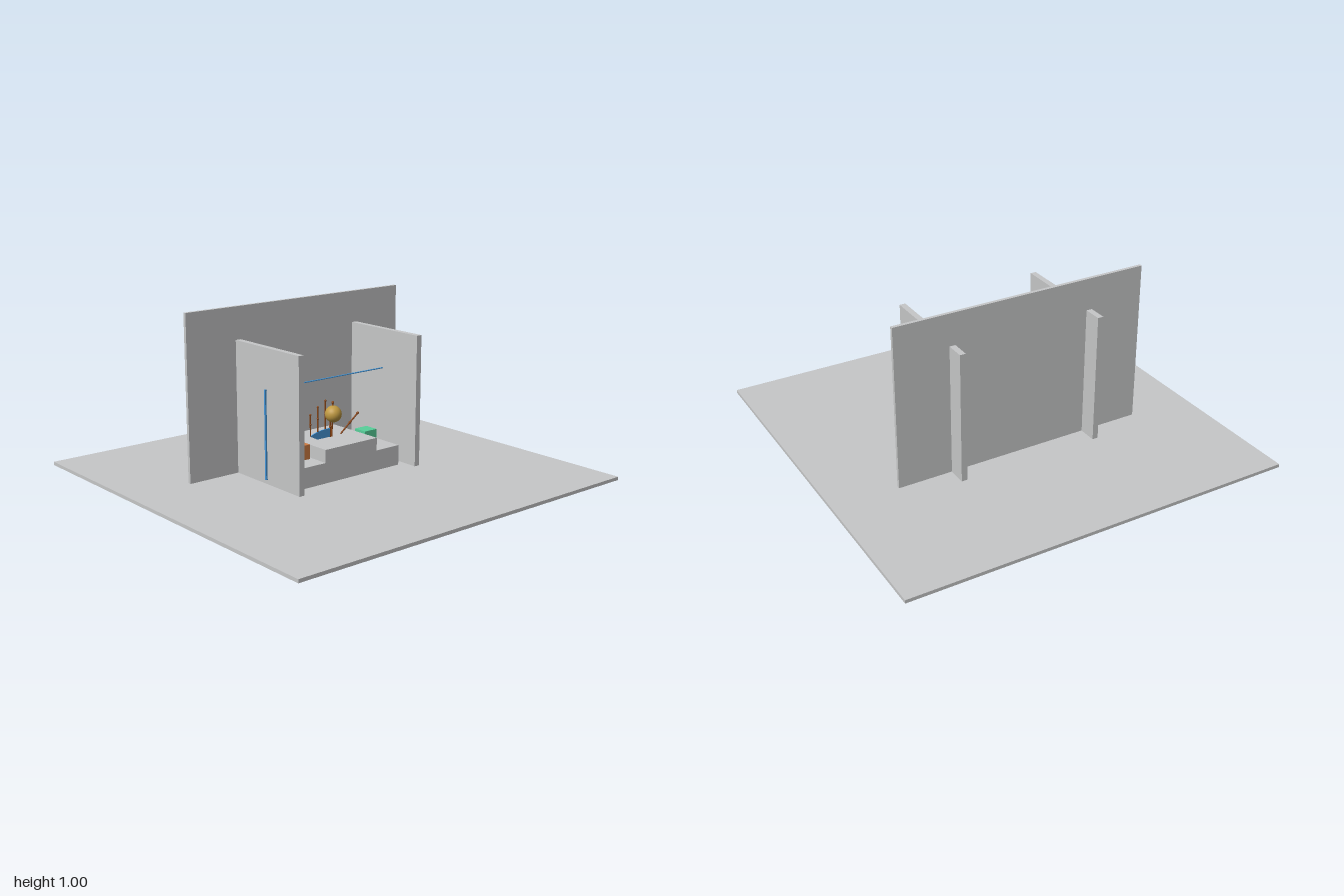
import * as THREE from 'three';

const paint = (name, color) => {
  const m = new THREE.MeshStandardMaterial({ color });
  m.name = name;
  return m;
};

export function createModel() {
  const model = new THREE.Group();
  model.name = 'stage';
  const grey = paint('grey', 0xc6c7c8);
  const blue = paint('blue', 0x4596d8);
  const orange = paint('orange', 0xcf7c42);
  const green = paint('green', 0x58d09a);
  const gold = paint('gold', 0xc09a42);
  const brown = paint('brown', 0x8b4513);

  const add = (name, geometry, material, parent = model) => {
    const mesh = new THREE.Mesh(geometry, material);
    mesh.name = name;
    parent.add(mesh);
    return mesh;
  };
  // Box given by its lower and upper limits on each axis
  const box = (name, x0, x1, y0, y1, z0, z1, material, parent) => {
    const mesh = add(name, new THREE.BoxGeometry(x1 - x0, y1 - y0, z1 - z0), material, parent);
    mesh.position.set((x0 + x1) / 2, (y0 + y1) / 2, (z0 + z1) / 2);
    return mesh;
  };
  // Thin round stick with knobs at its middle and tip
  const stick = (name, x0, y0, x1, y1, parent, r = 0.003) => {
    const group = new THREE.Group();
    group.name = name;
    const a = new THREE.Vector3(x0, y0, 0), b = new THREE.Vector3(x1, y1, 0);
    const path = new THREE.LineCurve3(a, b);
    add('rod', new THREE.TubeGeometry(path, 1, r, 8), brown, group);
    for (const t of [0.55, 1]) {
      add('knob', new THREE.SphereGeometry(r * 1.8, 8, 6), brown, group)
        .position.copy(a).lerp(b, t);
    }
    parent.add(group);
  };

  // Floor, central block, flanking steps and walls
  box('floor', -1, 1, 0.15, 0.167, -1, 1, grey);
  box('centreBlock', -0.165, 0.164, 0, 0.335, -0.165, 0.162, grey);
  box('rightStep', -0.316, -0.165, 0.167, 0.27, -0.15, 0.162, grey);
  box('leftStep', 0.164, 0.312, 0.167, 0.27, -0.15, 0.162, grey);
  box('backWall', -0.667, 0.664, 0.167, 0.998, -0.266, -0.249, grey);
  for (const s of [-1, 1]) {
    const cx = s * 0.37;
    box('sideWall', cx - 0.015, cx + 0.015, 0.167, 0.835, -0.363, 0.237, grey);
  }

  // Slim rectangular frame passing through the side walls
  const frame = new THREE.Group();
  frame.name = 'frame';
  model.add(frame);
  for (const s of [-1, 1]) {
    box('frameUpright', s * 0.391 - 0.004, s * 0.391 + 0.004, 0.19, 0.635, -0.015, -0.006, blue, frame);
  }
  for (const y of [0.192, 0.633]) {
    box('frameRail', -0.387, 0.387, y - 0.002, y + 0.002, -0.015, -0.006, blue, frame);
  }

  // Coloured cubes on the steps
  box('orangeCube', -0.252, -0.18, 0.27, 0.343, -0.008, 0.062, orange);
  box('greenCube', 0.171, 0.248, 0.27, 0.345, -0.01, 0.066, green);

  // Gold ball
  add('ball', new THREE.SphereGeometry(0.042, 24, 16), gold).position.set(-0.003, 0.458, 0.026);

  // Flat bag with pipes, and a separate leaning pipe
  const pipes = new THREE.Group();
  pipes.name = 'pipes';
  model.add(pipes);
  const outline = new THREE.Shape();
  outline.moveTo(-0.13, 0.36);
  outline.quadraticCurveTo(-0.07, 0.385, 0, 0.38);
  outline.lineTo(0, 0.337);
  outline.lineTo(-0.085, 0.337);
  outline.closePath();
  const bag = new THREE.ExtrudeGeometry(outline, { depth: 0.006, bevelEnabled: false });
  bag.translate(0, 0, -0.003);
  add('bag', bag, blue, pipes);
  stick('shortPipe', -0.128, 0.36, -0.128, 0.468, pipes);
  stick('middlePipe', -0.081, 0.37, -0.081, 0.5, pipes);
  stick('tallPipe', -0.033, 0.375, -0.033, 0.525, pipes);
  stick('mouthPipe', 0.008, 0.336, 0.015, 0.508, pipes, 0.004);
  stick('ballPost', -0.002, 0.336, -0.002, 0.43, pipes, 0.004);
  stick('leaningPipe', 0.065, 0.338, 0.178, 0.427, pipes, 0.004);
  pipes.position.z = 0.001;

  return model;
}
